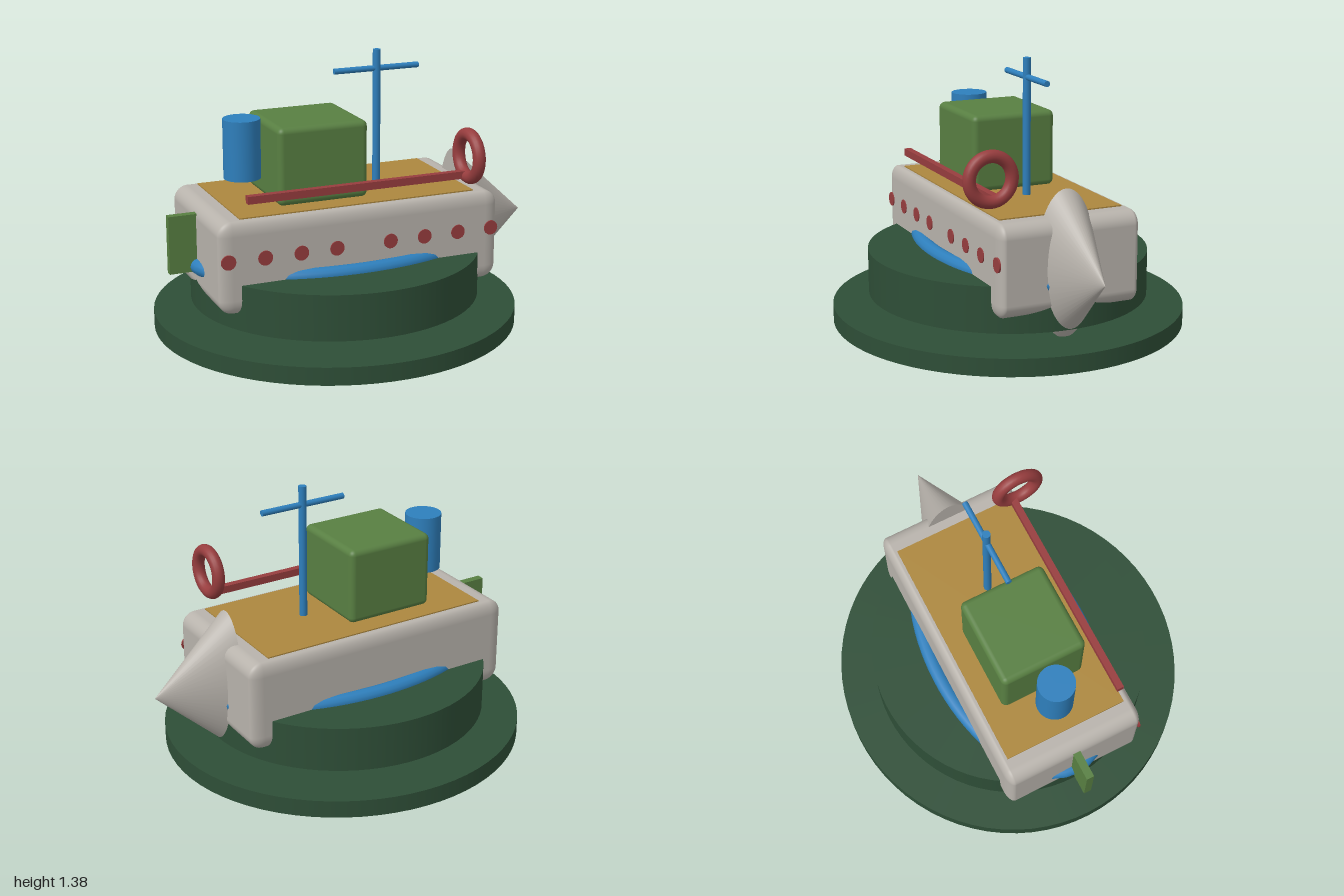
import * as THREE from 'three';
import { RoundedBoxGeometry } from 'three/addons/geometries/RoundedBoxGeometry.js';

const material = (name, color) => {
  const m = new THREE.MeshStandardMaterial({ color });
  m.name = name;
  return m;
};

export function createModel() {
  const model = new THREE.Group();
  model.name = 'boat';
  const darkGreen = material('dark green', 0x2e4e37);
  const grey = material('warm grey', 0xb8b3ac);
  const green = material('green', 0x587f42);
  const blue = material('blue', 0x2e7fbc);
  const red = material('red', 0x973d3e);
  const tan = material('tan', 0xac873e);
  const midX = -0.07;

  const add = (name, geometry, mat, x, y, z = 0) => {
    const mesh = new THREE.Mesh(geometry, mat);
    mesh.name = name;
    mesh.position.set(x, y, z);
    model.add(mesh);
    return mesh;
  };
  const ellipticDisc = (rx, rz, h) => new THREE.CylinderGeometry(1, 1, h, 72).scale(rx, 1, rz);

  // Stacked oval stand
  add('baseDisc', ellipticDisc(0.933, 0.9, 0.09), darkGreen, -0.067, 0.045);
  add('upperDisc', ellipticDisc(0.74, 0.715, 0.232), darkGreen, midX, 0.26);

  // Hull, with wider rounding along its length than across
  const hull = new RoundedBoxGeometry(1.48, 0.46, 1.49, 6, 0.07).scale(1, 1, 0.5);
  add('hull', hull, grey, midX, 0.46);
  add('deck', new THREE.BoxGeometry(1.24, 0.02, 0.65), tan, midX, 0.686);

  // Flattened pointed bow
  const bow = new THREE.ConeGeometry(1, 0.4, 48).rotateZ(-Math.PI / 2).scale(1, 0.37, 0.158);
  add('bow', bow, grey, 0.8, 0.453);

  // Fender running round the hull
  const loop = [];
  for (let i = 0; i < 32; i++) {
    const a = (i / 32) * Math.PI * 2;
    loop.push(new THREE.Vector3(Math.cos(a) * 0.738, 0, Math.sin(a) * 0.397));
  }
  const path = new THREE.CatmullRomCurve3(loop, true);
  add('fender', new THREE.TubeGeometry(path, 64, 0.04, 12, true), blue, midX, 0.376);

  // Portholes on the front side
  for (const x of [-0.765, -0.58, -0.395, -0.21, 0.075, 0.26, 0.445, 0.63]) {
    const disc = new THREE.CylinderGeometry(0.037, 0.037, 0.009, 24).rotateX(Math.PI / 2);
    add('porthole', disc, red, x, 0.5, 0.373);
  }

  // Cabin, funnel and rudder
  add('cabin', new RoundedBoxGeometry(0.47, 0.39, 0.45, 4, 0.03), green, -0.215, 0.887);
  add('funnel', new THREE.CylinderGeometry(0.093, 0.093, 0.3, 32), blue, -0.56, 0.948);
  add('rudder', new THREE.BoxGeometry(0.16, 0.295, 0.04), green, -0.87, 0.498);

  // Mast and crossbar
  add('mast', new THREE.CylinderGeometry(0.02, 0.02, 0.695, 20), blue, 0.162, 1.037);
  add('crossbar', new THREE.CylinderGeometry(0.015, 0.015, 0.46, 16).rotateZ(Math.PI / 2), blue, 0.16, 1.288);

  // Rail with a life ring at its end
  add('rail', new THREE.BoxGeometry(1.16, 0.038, 0.035), red, -0.07, 0.782, 0.322);
  add('lifeRing', new THREE.TorusGeometry(0.11, 0.032, 16, 40).rotateY(Math.PI / 2), red, 0.51, 0.882, 0.35);

  return model;
}
